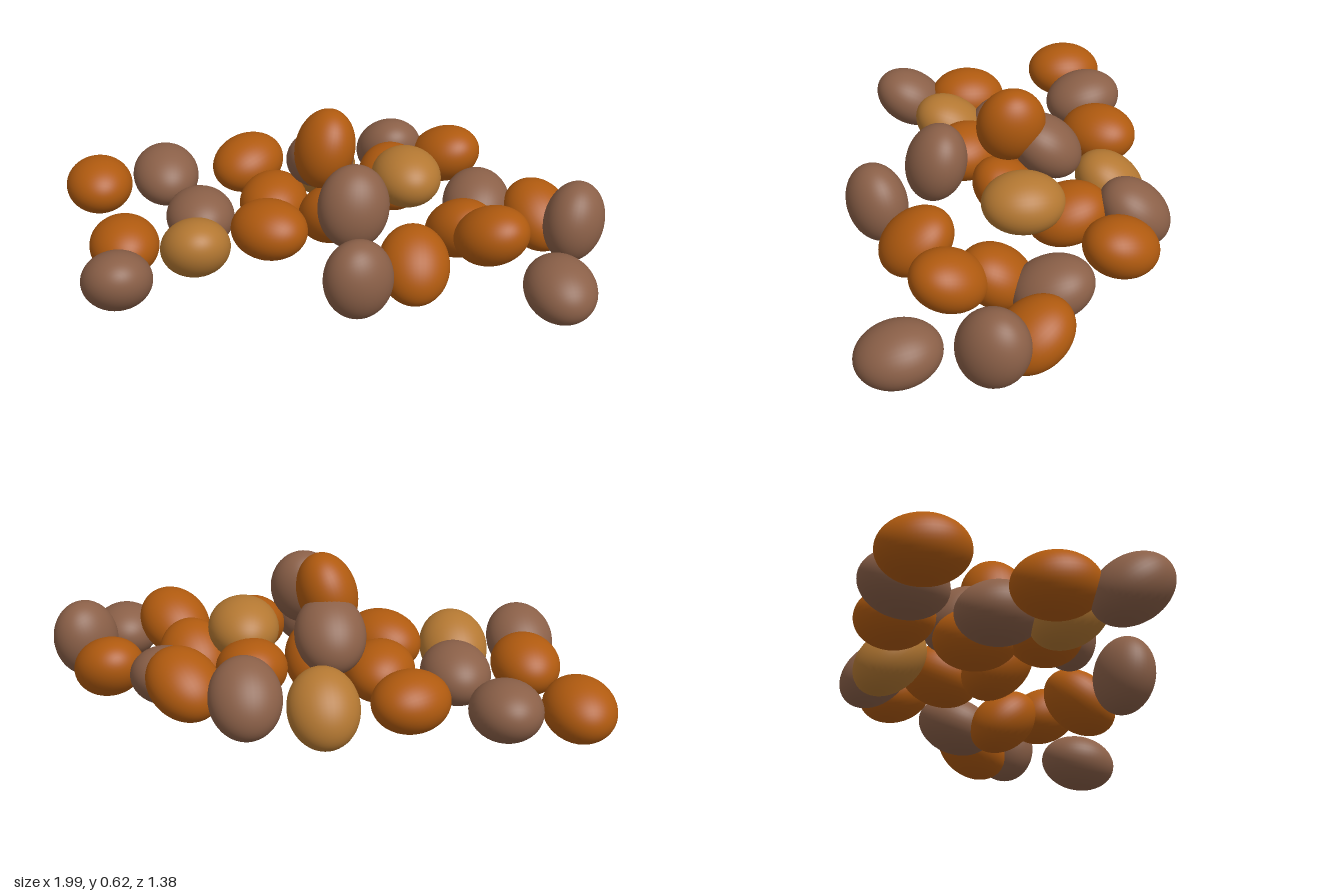
import * as THREE from 'three';

// Semi-axes of one nut: wide, thin, long
const RADII = [0.132, 0.112, 0.156];

// Each row: centre x, y, z, then long axis direction, then wide axis hint
const AMBER = [
  [-0.866, 0.165, -0.54, 0, 0.1, 1, 1, 0, 0],
  [-0.26, 0.22, -0.497, 0.8, 0.1, -0.6, 0.6, 0, 0.8],
  [0.524, 0.262, -0.32, 0.4, 0.42, 0.75, 0.8, 0, -0.5],
  [-0.21, 0.2, -0.187, 0.3, 0, -0.95, 1, 0, 0.3],
  [0.27, 0.25, -0.2, 0.1, 0.3, -0.95, 1, 0, 0.1],
  [-0.805, 0.14, -0.085, 0, 0.1, 1, 1, 0, 0],
  [-0.27, 0.22, 0.053, 0.6, 0.1, 0.78, 0.8, 0, -0.6],
  [-0.03, 0.475, -0.065, 0.25, 0.95, 0, 0, 0, 1],
  [-0.005, 0.2, -0.045, 0.1, 0.7, 0.7, 1, 0, 0],
  [0.46, 0.17, 0.12, 0.2, 0.6, 0.7, 1, 0, 0],
  [0.786, 0.166, 0.078, -0.2, 0.5, -0.8, 1, 0, -0.2],
  [0.21, 0.187, 0.36, 0.15, 0.6, -0.75, 1, 0, 0],
  [0.52, 0.24, 0.31, 0.4, 0.45, 0.75, 0.9, 0, -0.4],
];
const BROWN = [
  [-0.595, 0.18, -0.54, 0, -0.15, 1, 1, 0, 0],
  [0.32, 0.25, -0.444, 0, 0.7, 0.7, 1, 0, 0],
  [-0.5, 0.17, -0.187, 0, 0.1, 1, 1, 0, 0],
  [-0.02, 0.365, -0.2, 0, 0.65, 0.75, 1, 0, 0],
  [0.577, 0.175, -0.05, 0.3, 0.35, -0.85, 1, 0, 0.3],
  [-0.853, 0.14, 0.157, 0, 0.55, 0.8, 1, 0, 0],
  [0.012, 0.385, 0.235, 0.15, 0.93, -0.25, 1, 0, 0],
  [-0.022, 0.22, 0.46, -0.15, 0.95, 0.1, 0.93, 0, -0.35],
  [0.87, 0.22, 0.243, 0.22, 0.93, -0.22, 0.7, 0, -0.7],
  [0.714, 0.122, 0.533, 0, -0.14, 1, 1, 0, 0],
];
const TAN = [
  [0.043, 0.19, -0.444, 0, 0.7, 0.7, 1, 0, 0],
  [-0.55, 0.175, 0.05, 0, 0.55, 0.8, 1, 0, 0],
  [0.28, 0.34, -0.027, 0, 0.08, 1, 1, 0, 0],
];

export function createModel() {
  const pile = new THREE.Group();
  pile.name = 'nutPile';
  const geometry = new THREE.SphereGeometry(1, 40, 28);
  geometry.rotateX(Math.PI / 2); // poles at the two ends of the nut

  const addNuts = (name, color, rows) => {
    const material = new THREE.MeshStandardMaterial({ color });
    rows.forEach(([x, y, z, lx, ly, lz, wx, wy, wz], i) => {
      // Orthonormal frame from the long axis and the wide hint
      const long = new THREE.Vector3(lx, ly, lz).normalize();
      const thin = new THREE.Vector3().crossVectors(long, new THREE.Vector3(wx, wy, wz)).normalize();
      const wide = new THREE.Vector3().crossVectors(thin, long);
      const nut = new THREE.Mesh(geometry, material);
      nut.name = `${name}${i + 1}`;
      nut.quaternion.setFromRotationMatrix(new THREE.Matrix4().makeBasis(wide, thin, long));
      nut.scale.set(...RADII);
      nut.position.set(x, y, z);
      pile.add(nut);
    });
  };

  addNuts('amberNut', 0xb05a0f, AMBER);
  addNuts('brownNut', 0x8b6048, BROWN);
  addNuts('tanNut', 0xb47832, TAN);
  return pile;
}
